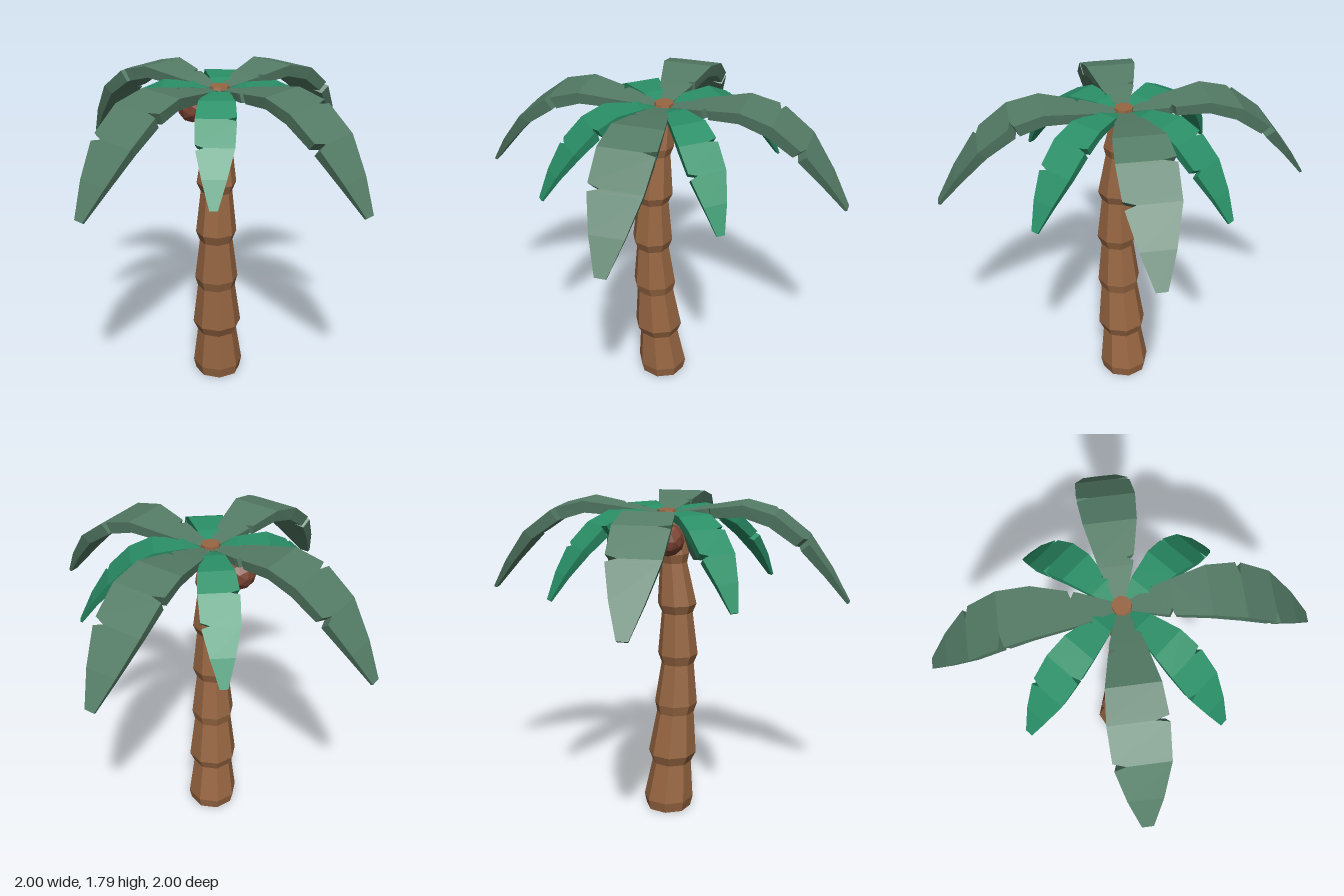
import * as THREE from 'three';

const mat = (color) => new THREE.MeshStandardMaterial({ color, flatShading: true, side: THREE.DoubleSide });

// Closed solid skinned over rings that all have the same number of corners.
function loft(rings) {
  const n = rings[0].length, pos = rings.flat(2), idx = [];
  for (let i = 0; i < rings.length - 1; i++) {
    for (let k = 0; k < n; k++) {
      const a = i * n + k, b = i * n + (k + 1) % n;
      idx.push(a, b, b + n, a, b + n, a + n);
    }
  }
  const end = (rings.length - 1) * n;
  for (let k = 1; k < n - 1; k++) {
    idx.push(0, k + 1, k, end, end + k, end + k + 1);
  }
  const g = new THREE.BufferGeometry();
  g.setAttribute('position', new THREE.Float32BufferAttribute(pos, 3));
  g.setIndex(idx);
  const flat = g.toNonIndexed();
  flat.computeVertexNormals();
  return flat;
}

// Frond outline: position along the leaf, half width, thickness, height of large leaf, height of small leaf
const OUTLINE = [
  [0.04, 0.03, 0.02, 1.725, 1.715],
  [0.20, 0.085, 0.05, 1.755, 1.745],
  [0.43, 0.135, 0.065, 1.79, 1.745],
  [0.60, 0.15, 0.07, 1.745, 1.69],
  [0.77, 0.142, 0.06, 1.615, 1.58],
  [0.90, 0.09, 0.04, 1.44, 1.45],
  [1.00, 0.03, 0.015, 1.275, 1.315],
];
// Torn notches: position along the leaf, side, depth as a share of the half width
const NOTCHES = [[0.24, 1, 0.4], [0.6, -1, 0.45], [0.77, 1, 0.45]];

function sample(t) {
  let i = 0;
  while (i < OUTLINE.length - 2 && t > OUTLINE[i + 1][0]) i++;
  const a = OUTLINE[i], b = OUTLINE[i + 1], f = (t - a[0]) / (b[0] - a[0]);
  return a.map((v, k) => v + (b[k] - v) * f);
}

// Leaf slab running along +x: flat top, slightly narrower underside
function leafGeometry(length, heightColumn) {
  const stations = OUTLINE.map((o) => ({ t: o[0], side: 0, depth: 0 }))
    .filter((s) => !NOTCHES.some((n) => Math.abs(n[0] - s.t) < 0.015));
  for (const [t, side, depth] of NOTCHES) {
    stations.push({ t: t - 0.018, side: 0, depth: 0 }, { t, side, depth }, { t: t + 0.012, side: 0, depth: 0 });
  }
  stations.sort((a, b) => a.t - b.t);
  return loft(stations.map(({ t, side, depth }) => {
    const s = sample(t), y = s[heightColumn], x = t * length;
    const p = sample(Math.max(0.04, t - 0.06)), q = sample(Math.min(1, t + 0.06));
    const slope = Math.atan2(q[heightColumn] - p[heightColumn], (q[0] - p[0]) * length);
    const thick = s[2] * (length < 1 ? 0.8 : 1);
    const bx = x + Math.sin(slope) * thick, by = y - Math.cos(slope) * thick;
    const w = s[1] * length;
    const l = -w * (side < 0 ? 1 - depth : 1), r = w * (side > 0 ? 1 - depth : 1);
    return [[x, y, l], [x, y, r], [bx, by, r * 0.9], [bx, by, l * 0.9]];
  }));
}

export function createModel() {
  const model = new THREE.Group();
  model.name = 'palmTree';
  const add = (name, geometry, material) => {
    const mesh = new THREE.Mesh(geometry, material);
    mesh.name = name;
    model.add(mesh);
    return mesh;
  };

  // Trunk: stacked flaring segments that lean gently; height, radius, centre x, centre z
  const trunkRings = [
    [0, 0.128, -0.003, 0.012], [0.06, 0.142, -0.003, 0.013],
    [0.28, 0.112, 0.006, 0.03], [0.335, 0.137, 0.008, 0.033],
    [0.58, 0.106, 0.018, 0.049], [0.635, 0.121, 0.02, 0.052],
    [0.87, 0.092, 0.026, 0.06], [0.925, 0.113, 0.027, 0.061],
    [1.165, 0.087, 0.026, 0.057], [1.215, 0.109, 0.025, 0.056],
    [1.45, 0.075, 0.018, 0.037], [1.5, 0.09, 0.016, 0.033],
    [1.74, 0.05, 0.002, 0],
  ];
  add('trunk', loft(trunkRings.map(([y, r, cx, cz]) =>
    Array.from({ length: 8 }, (_, k) => {
      const a = k * Math.PI / 4;
      return [cx + r * Math.cos(a), y, cz - r * Math.sin(a)];
    }))), mat(0x976642));

  // Crown: four large fronds and four smaller ones between them
  const kinds = [
    ['largeFrond', leafGeometry(1, 3), mat(0x557d67), 3.3],
    ['smallFrond', leafGeometry(0.7, 4), mat(0x2a9068), 52.8],
  ];
  for (const [name, geometry, material, yaw] of kinds) {
    for (let i = 0; i < 4; i++) {
      add(name + (i + 1), geometry, material).rotation.y = -THREE.MathUtils.degToRad(yaw + i * 90);
    }
  }

  // Coconuts hanging under the crown
  const nut = new THREE.IcosahedronGeometry(0.09, 1), nutMat = mat(0x7a4432);
  [[-0.155, 1.6, 0.03], [-0.075, 1.61, -0.09]].forEach((p, i) => {
    const coconut = add('coconut' + (i + 1), nut, nutMat);
    coconut.position.set(...p);
    coconut.rotation.set(0.4 * i, 0.7 * i, 0);
  });

  return model;
}
